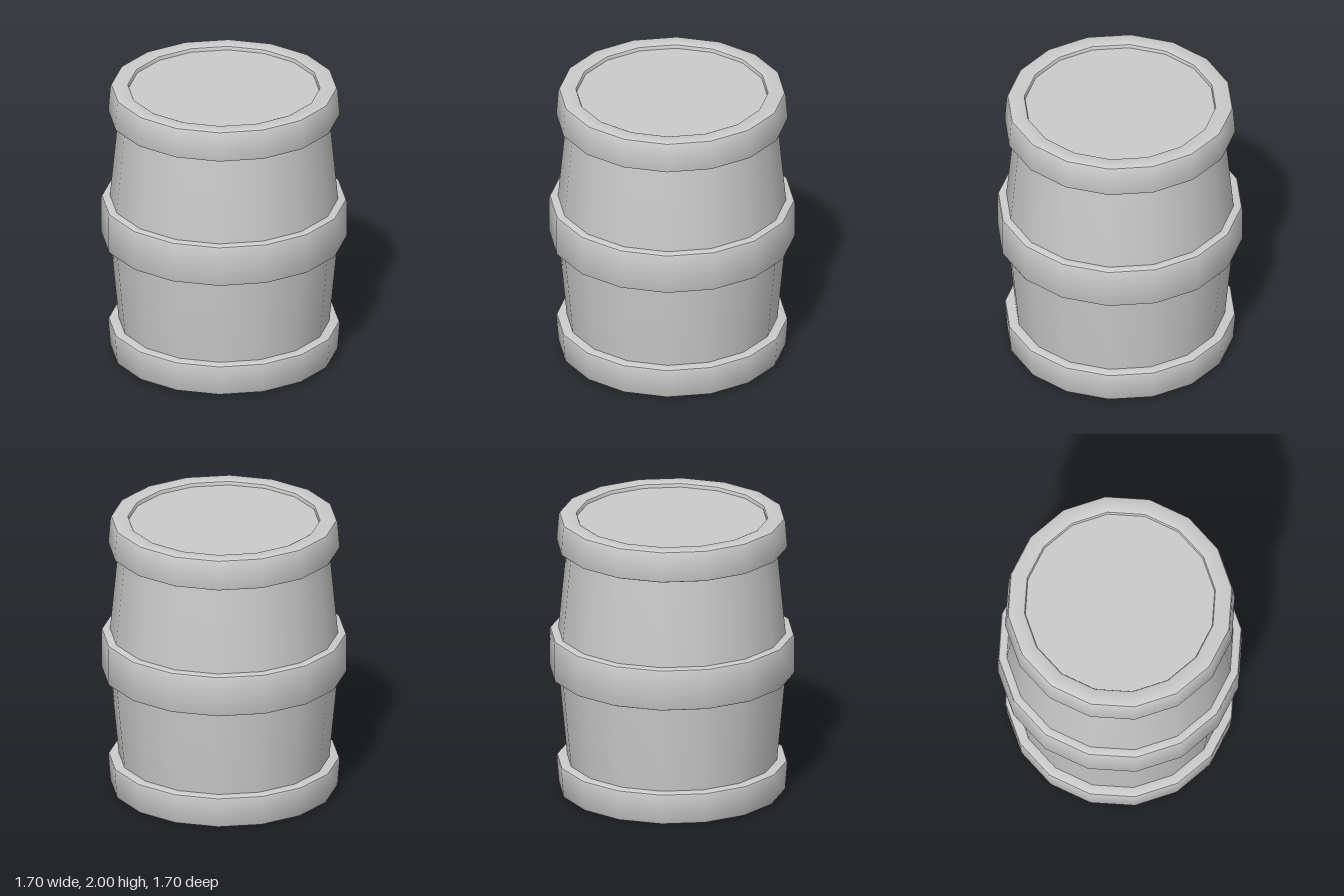
import * as THREE from 'three';
import { toCreasedNormals } from 'three/addons/utils/BufferGeometryUtils.js';

const SIDES = 16;
const material = new THREE.MeshStandardMaterial({ color: 0xcccccc });

// Spin a profile of [radius, height] points into a 16-sided part
function turned(name, points, crease) {
  const profile = points.map(([r, y]) => new THREE.Vector2(r, y));
  const geometry = toCreasedNormals(new THREE.LatheGeometry(profile, SIDES), crease);
  const mesh = new THREE.Mesh(geometry, material);
  mesh.name = name;
  return mesh;
}

// Closed ring whose four section corners are softened in two steps
function hoop(name, corners, bevel) {
  const pts = corners.map(([r, y]) => new THREE.Vector2(r, y));
  const n = pts.length;
  const section = [];
  pts.forEach((p, i) => {
    const toward = (q) => q.clone().sub(p).setLength(bevel).add(p);
    const a = toward(pts[(i + n - 1) % n]);
    const b = toward(pts[(i + 1) % n]);
    const mid = a.clone().add(b).multiplyScalar(0.5).lerp(p, 0.41);
    section.push([a.x, a.y], [mid.x, mid.y], [b.x, b.y]);
  });
  section.push(section[0]);
  return turned(name, section, 0.6);
}

export function createModel() {
  const barrel = new THREE.Group();
  barrel.name = 'barrel';

  // Bulging body, closed by the two recessed heads
  barrel.add(turned('body', [
    [0, 0.03], [0.71, 0.03], [0.73, 0.23], [0.79, 0.855], [0.80, 1.0],
    [0.79, 1.153], [0.73, 1.778], [0.71, 1.97], [0, 1.97],
  ], 0.6));

  // End hoops stand proud of the heads and lean with the body
  barrel.add(hoop('bottomHoop', [[0.66, 0], [0.785, 0], [0.803, 0.228], [0.66, 0.228]], 0.02));
  barrel.add(hoop('topHoop', [[0.66, 1.778], [0.803, 1.778], [0.785, 2], [0.66, 2]], 0.02));

  // Wide middle hoop
  barrel.add(hoop('middleHoop', [[0.74, 0.855], [0.85, 0.855], [0.85, 1.155], [0.74, 1.155]], 0.02));

  return barrel;
}
